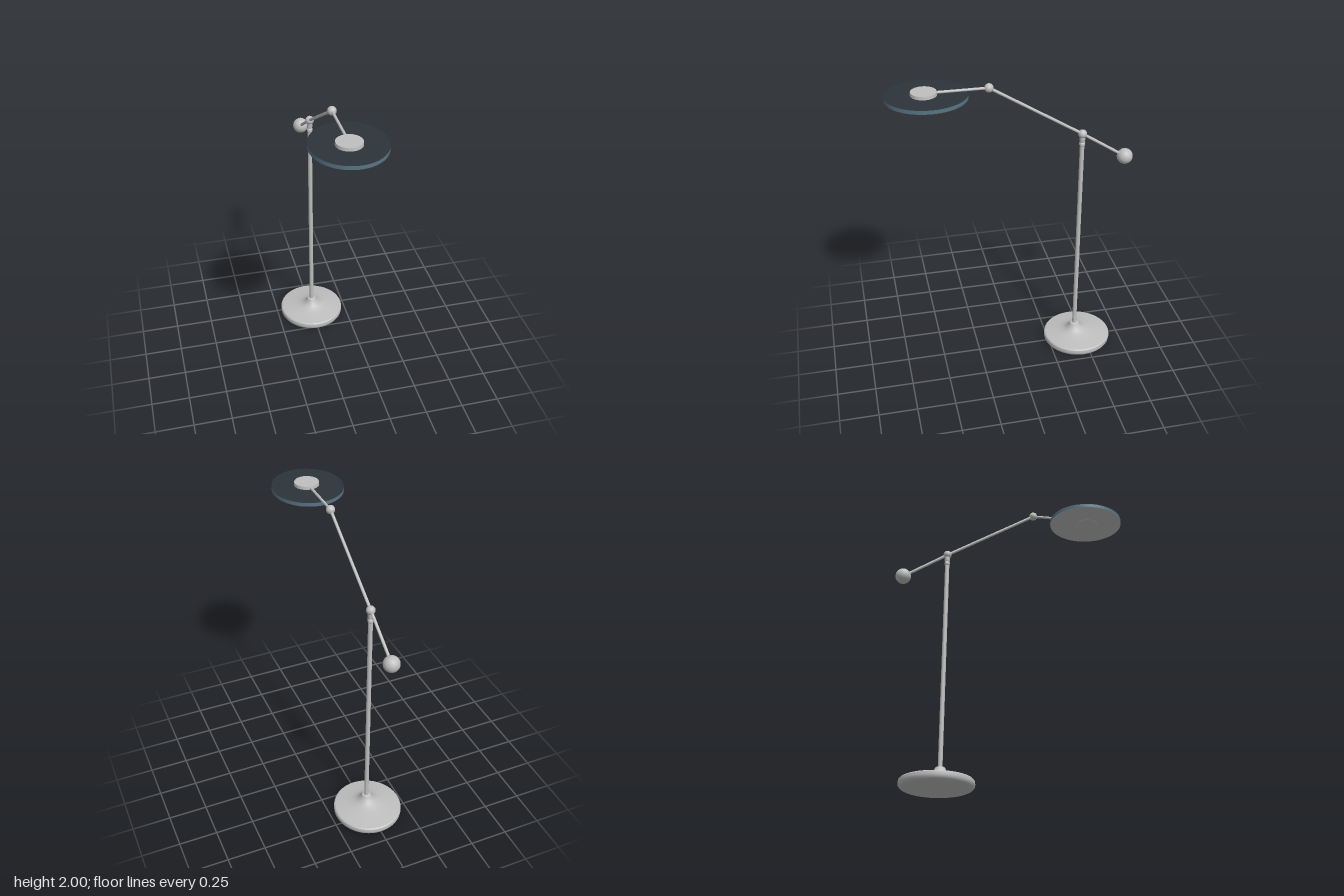
import * as THREE from 'three';
import { toCreasedNormals } from 'three/addons/utils/BufferGeometryUtils.js';

const V = (x, y, z) => new THREE.Vector3(x, y, z);

export function createModel() {
  const lamp = new THREE.Group();
  lamp.name = 'floorLamp';
  const material = (name, color) => Object.assign(new THREE.MeshStandardMaterial({ color }), { name });
  const metal = material('lightGreyMetal', 0xbfbfbf);
  const dark = material('darkShadeTop', 0x2c353b);
  const blue = material('blueGreyRim', 0x587484);

  function add(name, geometry, mat, x = 0, y = 0, z = 0) {
    const mesh = new THREE.Mesh(geometry, mat);
    mesh.name = name;
    mesh.position.set(x, y, z);
    lamp.add(mesh);
    return mesh;
  }
  // Round rod between two points
  function rod(name, a, b, r) {
    const dir = b.clone().sub(a);
    const mid = a.clone().add(b).multiplyScalar(0.5);
    const mesh = add(name, new THREE.CylinderGeometry(r, r, dir.length(), 20), metal, mid.x, mid.y, mid.z);
    mesh.quaternion.setFromUnitVectors(V(0, 1, 0), dir.normalize());
  }
  const ball = (name, r, p) => add(name, new THREE.SphereGeometry(r, 32, 20), metal, p.x, p.y, p.z);
  const lathe = (points, segments = 64) => toCreasedNormals(
    new THREE.LatheGeometry(points.map(([r, y]) => new THREE.Vector2(r, y)), segments), 0.6);

  // Key joints
  const poleZ = -0.435;
  const pivot = V(0, 1.612, poleZ);
  const elbow = V(0, 1.974, 0.153);
  const weight = V(0, 1.425, -0.722);

  // Flared base, slightly oval, its neck leaning forward to meet the pole
  const base = new THREE.LatheGeometry([
    [0, 0], [0.205, 0], [0.216, 0.006], [0.223, 0.016], [0.225, 0.03], [0.223, 0.046], [0.216, 0.053],
    [0.19, 0.057], [0.15, 0.063], [0.11, 0.07], [0.08, 0.078], [0.058, 0.09], [0.043, 0.105],
    [0.034, 0.12], [0.03, 0.13], [0.024, 0.134], [0, 0.134],
  ].map(([r, y]) => new THREE.Vector2(r, y)), 64);
  const pos = base.attributes.position;
  for (let i = 0; i < pos.count; i++) {
    const lean = THREE.MathUtils.smoothstep(pos.getY(i), 0.05, 0.1);
    pos.setZ(i, pos.getZ(i) * 1.03 + 0.018 * lean);
  }
  add('base', toCreasedNormals(base, 0.6), metal, 0, 0, -0.453);

  // Upright with collar and pivot
  rod('pole', V(0, 0.12, poleZ), V(0, 1.55, poleZ), 0.0145);
  add('collar', lathe([
    [0.0145, 1.53], [0.019, 1.535], [0.019, 1.55], [0.015, 1.556], [0.018, 1.565], [0.018, 1.6], [0, 1.61],
  ], 24), metal, 0, 0, poleZ);
  ball('pivot', 0.028, pivot);

  // Balanced arm
  rod('upperArm', pivot, elbow, 0.0095);
  rod('counterArm', pivot, weight, 0.0095);
  ball('counterweight', 0.051, weight);
  ball('elbow', 0.028, elbow);
  rod('headArm', elbow, V(0, 1.975, 0.5), 0.0085);

  // Oval shade: dark top, blue-grey rim, light underside
  const head = add('shade', new THREE.CylinderGeometry(0.225, 0.225, 0.024, 72),
    [blue, dark, metal], 0, 1.955, 0.525);
  head.scale.z = 1.1;
  add('shadeCap', new THREE.CylinderGeometry(0.078, 0.08, 0.021, 48), metal, 0, 1.9765, 0.541);
  add('lowerCap', new THREE.CylinderGeometry(0.075, 0.07, 0.006, 48), metal, 0, 1.941, 0.535);

  return lamp;
}
